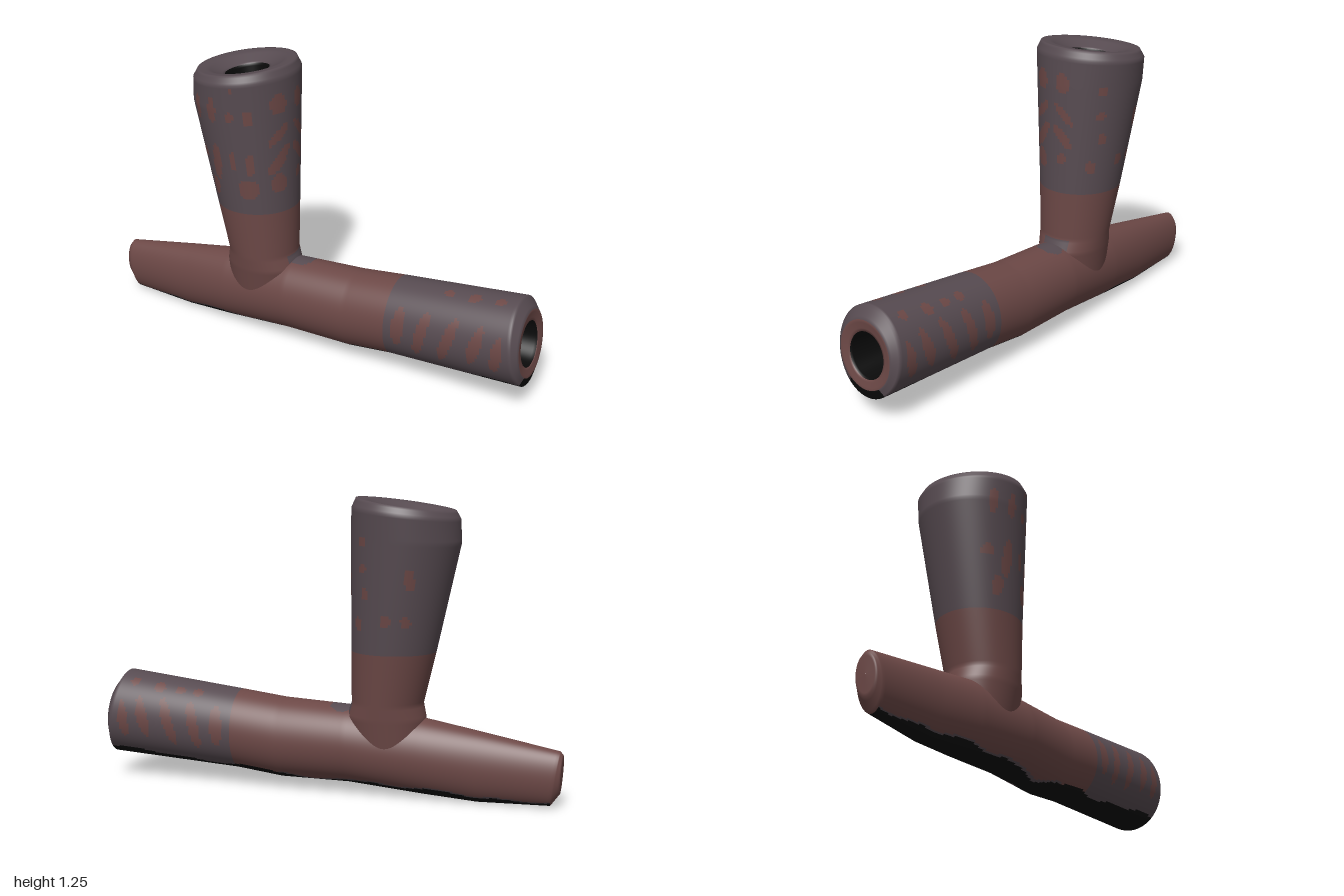
import * as THREE from 'three';

const RED = 0, GREY = 1, BLACK = 2;

// True when (u, v) lies in one of the oval marks [u, v, radiusU, radiusV, shear]
const marked = (marks, u, v) => marks.some(([cu, cv, ru, rv, s = 0]) =>
  ((u - cu - s * (v - cv)) / ru) ** 2 + ((v - cv) / rv) ** 2 < 1);

// Skins oval sections [pos, c1, r1, c2, r2, tilt]; paint() picks the colour of each face
function loft(name, sections, place, paint, materials) {
  const SEG = 112, rings = [];
  for (let i = 0; i < sections.length - 1; i++) {
    const a = sections[i], b = sections[i + 1];
    const len = Math.hypot(b[0] - a[0], b[2] - a[2]);
    const n = Math.max(2, Math.ceil(len / 0.012));
    for (let k = 0; k < n; k++) rings.push({ i, s: a.map((v, j) => v + (b[j] - v) * k / n) });
  }
  rings.push({ i: sections.length - 1, s: sections[sections.length - 1] });

  const points = [];
  for (const { s: [pos, c1, r1, c2, r2, tilt] } of rings) {
    for (let j = 0; j < SEG; j++) {
      const t = j / SEG * Math.PI * 2, sin = Math.sin(t), cos = Math.cos(t);
      points.push(place(pos, c1 + r1 * sin, c2 + r2 * cos, tilt, sin, cos));
    }
  }
  const faces = [[], [], []];
  for (let r = 0; r < rings.length - 1; r++) {
    for (let j = 0; j < SEG; j++) {
      const a = r * SEG + j, b = r * SEG + (j + 1) % SEG, c = a + SEG, d = b + SEG;
      const mid = points[a].clone().add(points[d]).multiplyScalar(0.5);
      const sin = Math.sin((j + 0.5) / SEG * Math.PI * 2);
      faces[paint(mid, rings[r].i, sin)].push(a, c, b, b, c, d);
    }
  }
  const geo = new THREE.BufferGeometry().setFromPoints(points);
  geo.setIndex(faces.flat());
  let start = 0;
  faces.forEach((f, m) => { geo.addGroup(start, f.length, m); start += f.length; });
  geo.computeVertexNormals();
  const mesh = new THREE.Mesh(geo, materials);
  mesh.name = name;
  return mesh;
}

// Stem, from the narrow mouthpiece to the open socket: [x, cy, ry, cz, rz, tilt]
const stemSections = [
  [-0.995, 0.145, 0.001, 0.003, 0.001, 0],
  [-0.992, 0.145, 0.08, 0.003, 0.045, -0.005],
  [-0.967, 0.127, 0.114, 0.003, 0.058, -0.018],
  [-0.65, 0.153, 0.148, 0.006, 0.092, 0],
  [-0.42, 0.18, 0.16, 0.01, 0.118, 0],
  [-0.1, 0.212, 0.165, 0.013, 0.142, 0],
  [0.2, 0.22, 0.172, 0.013, 0.148, 0],
  [0.4, 0.243, 0.172, 0.017, 0.153, 0],
  [0.965, 0.287, 0.186, 0.031, 0.167, -0.027],
  [0.99, 0.282, 0.142, 0.031, 0.135, -0.012],
  [0.982, 0.277, 0.096, 0.03, 0.092, -0.01],
  [0.72, 0.26, 0.08, 0.025, 0.08, 0],
  [0.72, 0.26, 0.001, 0.025, 0.001, 0],
];
// Slanted strokes on both sides (x, y) and dots along the top (x, z)
const stemStrokes = [
  [0.465, 0.275, 0.028, 0.085, 0.05], [0.57, 0.27, 0.025, 0.1, 0.22], [0.69, 0.28, 0.025, 0.1, 0.3],
  [0.81, 0.29, 0.026, 0.09, 0.25], [0.905, 0.28, 0.024, 0.08, 0.1],
];
const stemDots = [
  [0.57, -0.065, 0.022, 0.018], [0.65, -0.068, 0.022, 0.018], [0.75, -0.068, 0.028, 0.022],
  [0.87, -0.06, 0.022, 0.018], [0.65, 0.07, 0.022, 0.018], [0.76, 0.075, 0.028, 0.022],
  [0.87, 0.075, 0.022, 0.018],
];
function paintStem(p, i, sin) {
  if (i >= 10) return BLACK;
  if (i === 9) return RED;
  // Ragged soot along the underside, broken near the middle
  const gap = 0.2 * Math.exp(-(((p.x - 0.06) / 0.09) ** 2));
  const edge = -0.81 + 0.05 * Math.sin(9 * p.x) + 0.03 * Math.sin(23 * p.x) - gap;
  if (i > 1 && sin < edge) return BLACK;
  if (p.x < 0.2 && i > 1 && sin < edge + 0.04) return GREY;
  if (p.x > 0.4) {
    if (sin < 0.75 && marked(stemStrokes, p.x, p.y)) return RED;
    if (sin > 0.6 && marked(stemDots, p.x, p.z)) return RED;
    return GREY;
  }
  return sin > 0.5 && marked([[-0.07, 0.0, 0.055, 0.055]], p.x, p.z) ? GREY : RED;
}

// Bowl, flaring upwards, over a slanted dished rim and into the hole: [y, cz, rz, cx, rx, tilt]
const bowlSections = [
  [0.22, 0.01, 0.125, -0.262, 0.155, 0],
  [0.34, 0.012, 0.146, -0.256, 0.168, 0],
  [0.4, 0.012, 0.153, -0.26, 0.151, 0],
  [0.62, 0.006, 0.175, -0.287, 0.177, 0],
  [1.08, 0, 0.222, -0.337, 0.227, 0.01],
  [1.19, -0.002, 0.231, -0.336, 0.223, 0.024],
  [1.226, -0.002, 0.212, -0.336, 0.205, 0.028],
  [1.222, -0.002, 0.17, -0.336, 0.16, 0.024],
  [1.19, -0.002, 0.1, -0.338, 0.09, 0.015],
  [0.8, 0, 0.075, -0.31, 0.075, 0],
  [0.8, 0, 0.001, -0.31, 0.001, 0],
];
// Marks facing the stem (z, y), the front (x, y) and the back (x, y)
const bowlStemSide = [
  [0.09, 1.105, 0.036, 0.045], [-0.03, 1.105, 0.03, 0.045],
  [0.09, 0.97, 0.024, 0.045, -0.8], [-0.035, 0.97, 0.024, 0.045, 0.8],
  [0.087, 0.86, 0.03, 0.06, -0.6], [-0.03, 0.87, 0.028, 0.05, 0.7],
  [0.09, 0.755, 0.034, 0.042], [-0.025, 0.775, 0.022, 0.022], [-0.135, 0.74, 0.015, 0.03],
];
const bowlFront = [
  [-0.46, 1.07, 0.018, 0.055], [-0.375, 1.075, 0.02, 0.06], [-0.29, 1.055, 0.015, 0.025],
  [-0.22, 1.055, 0.02, 0.035], [-0.28, 1.175, 0.012, 0.012], [-0.45, 0.86, 0.02, 0.025],
  [-0.37, 0.84, 0.024, 0.08], [-0.29, 0.86, 0.016, 0.045], [-0.22, 0.85, 0.018, 0.05],
  [-0.395, 0.72, 0.022, 0.045], [-0.23, 0.735, 0.04, 0.045],
];
const bowlBack = [
  [-0.2, 1.08, 0.018, 0.022], [-0.2, 0.97, 0.016, 0.022], [-0.21, 0.87, 0.018, 0.022],
  [-0.3, 0.76, 0.022, 0.024], [-0.4, 0.93, 0.02, 0.045], [-0.38, 0.76, 0.02, 0.022],
];
function paintBowl(p, i) {
  if (i >= 8) return BLACK;
  if (p.y < 0.62) return p.x > -0.13 && Math.abs(p.z) < 0.06 && p.y < 0.4 ? GREY : RED;
  if (i >= 6) return GREY;
  if (p.x > -0.26 && marked(bowlStemSide, p.z, p.y)) return RED;
  return marked(p.z > 0.1 ? bowlFront : p.z < -0.1 ? bowlBack : [], p.x, p.y) ? RED : GREY;
}

export function createModel() {
  const material = (name, color) => {
    const m = new THREE.MeshStandardMaterial({ color });
    m.name = name;
    return m;
  };
  const materials = [
    material('red clay', 0x6c4846), material('grey clay', 0x574b51), material('soot black', 0x0b0b0b),
  ];
  const group = new THREE.Group();
  group.name = 'clayPipe';

  group.add(loft('stem', stemSections,
    (pos, y, z, tilt, sin) => new THREE.Vector3(pos + tilt * sin, y, z), paintStem, materials));
  group.add(loft('bowl', bowlSections,
    (pos, z, x, tilt, sin, cos) => new THREE.Vector3(x, pos + tilt * cos, z), paintBowl, materials));

  // Pale ash crescent inside the bowl
  const ash = new THREE.Mesh(new THREE.RingGeometry(0.035, 0.055, 24, 1, -Math.PI / 2, Math.PI * 1.2), materials[GREY]);
  ash.name = 'ashCrescent';
  ash.rotation.x = -Math.PI / 2;
  ash.position.set(-0.32, 0.81, 0.01);
  group.add(ash);
  return group;
}
